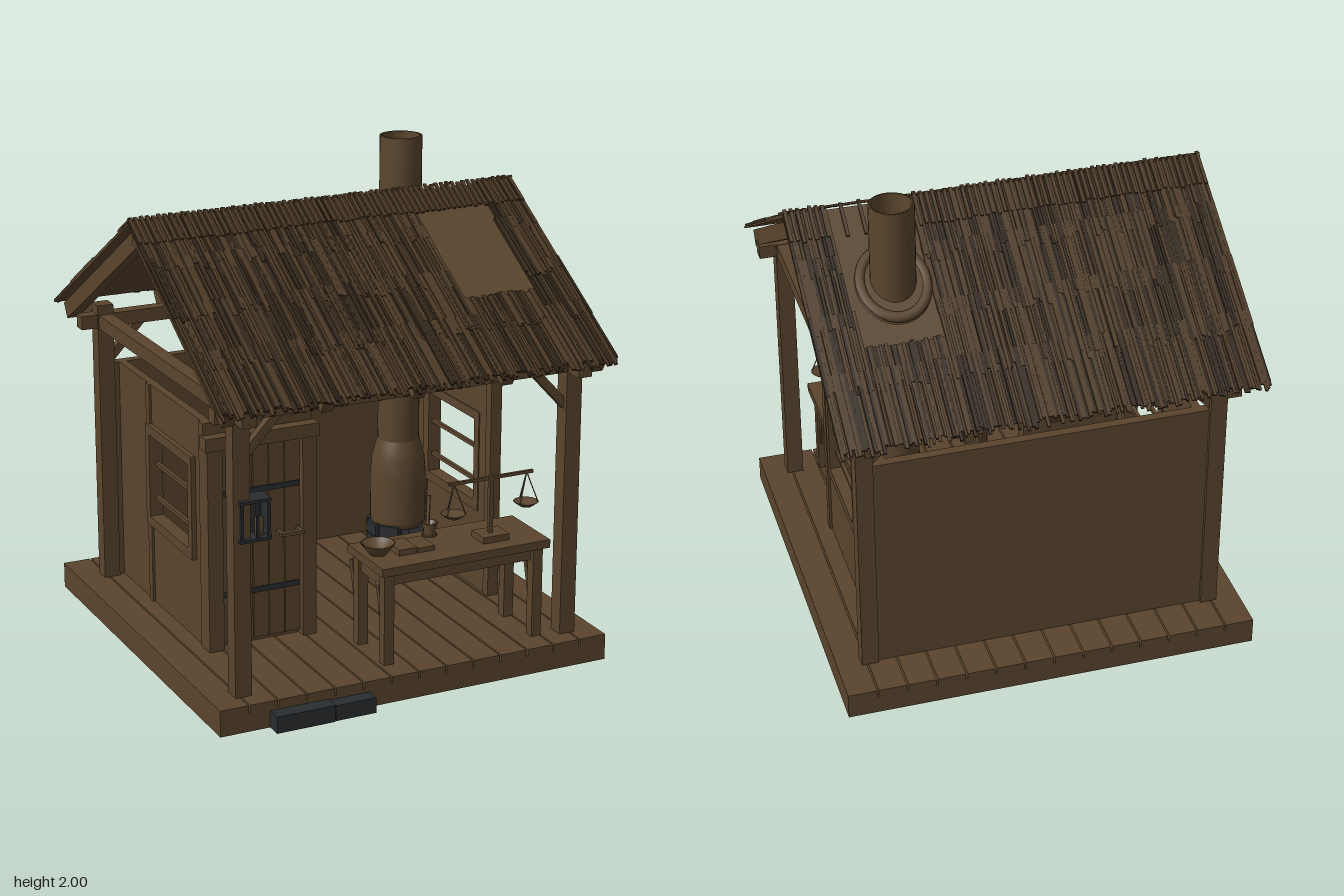
import * as THREE from 'three';
import { mergeGeometries } from 'three/addons/utils/BufferGeometryUtils.js';

const mat = (name, color) => Object.assign(new THREE.MeshStandardMaterial({ color }), { name });

export function createModel() {
  const root = new THREE.Group();
  root.name = 'marketHut';
  const wood = mat('wood', 0x5a452d);
  const thatch = mat('thatch', 0x4d3a25);
  const thatchDark = mat('dark thatch', 0x32271a);
  const iron = mat('iron and stone', 0x2a2d30);
  wood.side = THREE.DoubleSide;

  let seed = 7;
  const rand = () => (seed = (seed * 16807) % 2147483647) / 2147483647;
  const add = (name, geo, m = wood, parent = root) => {
    const mesh = new THREE.Mesh(geo, m);
    mesh.name = name;
    parent.add(mesh);
    return mesh;
  };
  // box given by its extents
  const slab = (x0, x1, y0, y1, z0, z1) =>
    new THREE.BoxGeometry(x1 - x0, y1 - y0, z1 - z0).translate((x0 + x1) / 2, (y0 + y1) / 2, (z0 + z1) / 2);
  const box = (name, e, m, parent) => add(name, slab(...e), m, parent);
  // square bar between two points
  const bar = (name, a, b, w, m, parent) => {
    const p = new THREE.Vector3(...a), q = new THREE.Vector3(...b);
    const mesh = add(name, new THREE.BoxGeometry(w, w, p.distanceTo(q)), m, parent);
    mesh.position.copy(p).add(q).multiplyScalar(0.5);
    mesh.lookAt(q);
    return mesh;
  };
  const lathe = (name, pts, x, z, m) => {
    const mesh = add(name, new THREE.LatheGeometry(pts.map(p => new THREE.Vector2(...p)), 28), m);
    mesh.position.set(x, 0, z);
    return mesh;
  };

  // Floor: foundation, deck planks, stone step
  box('foundation', [-0.86, 0.86, 0, 0.08, -0.86, 0.85]);
  const pitch = 1.72 / 14;
  for (let i = 0; i < 14; i++) {
    const x = -0.86 + i * pitch;
    box('deckPlank', [x + (i ? 0.004 : 0), x + pitch - (i < 13 ? 0.004 : 0), 0.08, 0.11, -0.86, 0.85]);
  }
  box('doorStep', [-0.65, -0.4, 0, 0.07, 0.85, 0.915], iron);
  box('doorStep', [-0.395, -0.22, 0, 0.065, 0.85, 0.91], iron);

  // Timber frame
  const postZ = [0.735, -0.655];
  for (const s of [-1, 1]) {
    for (const z of postZ) {
      const post = box('post', [-0.035, 0.035, 0.11, z > 0 ? 1.29 : 1.33, -0.035, 0.035]);
      post.position.set(s * 0.725, 0, z);
      bar('kneeBrace', [s * 0.7, 1.09, z], [s * 0.56, 1.24, z], 0.035);
    }
    box('tieBeam', [s * 0.725 - 0.03, s * 0.725 + 0.03, 1.23, 1.288, -0.84, 0.85]);
  }
  for (const z of postZ) box('eaveBeam', [-0.83, 0.83, 1.232, 1.29, z - 0.03, z + 0.03]);
  box('ridgeBeam', [-0.83, 0.83, 1.74, 1.8, -0.03, 0.03]);

  // Roof: each slope is a group whose local +z runs down from the ridge
  const angle = Math.atan(0.61), c = Math.cos(angle);
  for (const s of [1, -1]) {
    const slope = new THREE.Group();
    slope.name = s > 0 ? 'frontRoof' : 'backRoof';
    slope.rotation.set(angle, s > 0 ? 0 : Math.PI, 0, 'YXZ');
    slope.position.y = 1.835;
    root.add(slope);
    for (const x of [-0.8, -0.39, 0, 0.39, 0.8])
      box('rafter', [x - 0.025, x + 0.025, -0.088, -0.02, 0, 0.86 / c], wood, slope);
    box('roofBoard', [-0.86, 0.86, -0.008, 0, 0, 0.872 / c], wood, slope);
    // overlapping courses of reeds, left open around the chimney
    const reeds = [[], []];
    const n = 150;
    for (let row = 0; row < 4; row++)
      for (let i = 0; i < n; i++) {
        const x = -0.857 + 1.714 * (i + 0.5) / n + (rand() - 0.5) * 0.005;
        const w = 0.0045 + rand() * 0.003;
        let z0 = row * 0.25 - (row ? 0.04 : 0);
        const z1 = Math.min((row + 1) * 0.255, 1.022) + rand() * 0.045;
        const h = 0.005 + rand() * 0.008;
        const wx = s * x;
        if (wx > 0.355 && wx < 0.68) {
          if (z1 < 0.62) continue;
          z0 = Math.max(z0, 0.61 + rand() * 0.02);
        }
        reeds[rand() < 0.6 ? 0 : 1].push(slab(x - w, x + w, 0, h, z0, z1));
      }
    reeds.forEach((g, i) => add('reeds', mergeGeometries(g), i ? thatchDark : thatch, slope));
    // ridge reeds
    const cap = [];
    for (let i = 0; i < 70; i++) {
      const x = -0.85 + i * 0.0246;
      if (s < 0 && -x > 0.355 && -x < 0.68 && i % 3) continue;
      cap.push(slab(x - 0.007, x + 0.007, 0.008, 0.017, -0.01 - rand() * 0.01, 0.125 + rand() * 0.012));
    }
    add('ridgeReeds', mergeGeometries(cap), thatch, slope);
    if (s < 0) { // flashing around the chimney
      const plate = add('chimneyFlashing', new THREE.CylinderGeometry(0.13, 0.15, 0.022, 32), wood, slope);
      plate.position.set(-0.5, 0.011, 0.31 / c);
      plate.scale.z = 1 / c;
      const ring = add('flashingRing', new THREE.TorusGeometry(0.13, 0.02, 8, 32).rotateX(Math.PI / 2), wood, slope);
      ring.position.set(-0.5, 0.016, 0.31 / c);
      ring.scale.z = 1 / c;
    }
  }

  // Walls: back, the two windowed sides, and the door wall
  box('backWall', [-0.69, 0.69, 0.11, 1.07, -0.675, -0.635]);
  const rect = (P, a, b, y0, y1) => {
    const p = new P();
    p.moveTo(a, y0); p.lineTo(b, y0); p.lineTo(b, y1); p.lineTo(a, y1); p.closePath();
    return p;
  };
  const pierced = (name, outer, inner, depth, x) => {
    const shape = rect(THREE.Shape, ...outer);
    shape.holes.push(rect(THREE.Path, ...inner));
    const geo = new THREE.ExtrudeGeometry(shape, { depth, bevelEnabled: false }).translate(0, 0, -depth / 2);
    const mesh = add(name, geo.rotateY(-Math.PI / 2));
    mesh.position.x = x;
  };
  const hole = [-0.265, 0.14, 0.5, 0.86];
  for (const s of [-1, 1]) {
    pierced('sideWall', [-0.64, 0.28, 0.11, 1.07], hole, 0.035, s * 0.647);
    pierced('windowFrame', [-0.305, 0.18, 0.46, 0.9], hole, 0.06, s * 0.655);
    for (const y of [0.58, 0.73]) bar('windowBar', [s * 0.65, y, -0.27], [s * 0.65, y, 0.145], 0.016);
    for (const [z0, z1] of [[0.24, 0.283], [-0.315, -0.278]]) {
      const stud = box('wallStud', [-0.025, 0.025, 0.11, 1.07, z0, z1]);
      stud.position.x = s * 0.65;
    }
  }
  box('doorWall', [-0.66, -0.2, 0.11, 1.07, 0.245, 0.28]);
  box('doorJamb', [-0.675, -0.61, 0.11, 0.965, 0.28, 0.325]);
  box('doorJamb', [-0.26, -0.2, 0.11, 0.965, 0.28, 0.325]);
  box('doorLintel', [-0.685, -0.19, 0.965, 1.02, 0.27, 0.333]);
  for (let i = 0; i < 5; i++)
    box('doorPlank', [-0.608 + i * 0.07, -0.542 + i * 0.07, 0.13, 0.96, 0.28, 0.3]);
  for (const y of [0.34, 0.77]) box('doorStrap', [-0.605, -0.27, y - 0.011, y + 0.011, 0.3, 0.309], iron);
  box('doorHandle', [-0.37, -0.265, 0.567, 0.583, 0.335, 0.355]);
  for (const x of [-0.36, -0.275]) bar('handlePin', [x, 0.575, 0.295], [x, 0.575, 0.34], 0.014);

  // Stove, chimney and its ring of stones
  lathe('stove', [[0, 0.27], [0.115, 0.27], [0.122, 0.3], [0.122, 0.5], [0.115, 0.58], [0.1, 0.635], [0.088, 0.67]], 0.5, -0.31);
  lathe('chimney', [[0.09, 0.65], [0.09, 1.69], [0.09, 2], [0.076, 2], [0.076, 1.6], [0, 1.6]], 0.5, -0.31);
  for (let row = 0; row < 3; row++)
    for (let i = 1; i < 8; i++) {
      const a = i * Math.PI / 4;
      const stone = add('hearthStone', new THREE.BoxGeometry(0.085, 0.054, 0.06), iron);
      stone.position.set(0.5 + Math.sin(a) * 0.1, 0.14 + row * 0.06, -0.31 + Math.cos(a) * 0.1);
      stone.rotation.y = a;
    }

  // Table
  box('tableTop', [-0.12, 0.64, 0.495, 0.53, 0.45, 0.76]);
  for (const z of [0.48, 0.71]) box('tableApron', [-0.09, 0.61, 0.44, 0.495, z - 0.012, z + 0.012]);
  for (const x of [-0.08, 0.595]) {
    box('tableApron', [x - 0.012, x + 0.012, 0.43, 0.48, 0.47, 0.72]);
    for (const z of [0.49, 0.72]) {
      box('tableLeg', [x - 0.022, x + 0.022, 0.11, 0.495, z - 0.022, z + 0.022]);
      bar('tableBrace', [x, 0.24, z - 0.015], [x, 0.45, z - 0.07], 0.024);
    }
  }

  // Goods on the table: bowl, book, mortar and pestle
  lathe('bowl', [[0, 0.532], [0.035, 0.532], [0.07, 0.578], [0.063, 0.578], [0.03, 0.542], [0, 0.542]], -0.06, 0.6);
  box('bookPage', [0.005, 0.085, 0.53, 0.556, 0.54, 0.66]);
  box('bookPage', [0.09, 0.165, 0.53, 0.55, 0.54, 0.66]);
  lathe('mortar', [[0, 0.53], [0.032, 0.53], [0.022, 0.545], [0.034, 0.585], [0.027, 0.585], [0, 0.55]], 0.225, 0.5);
  bar('pestle', [0.222, 0.56, 0.488], [0.235, 0.69, 0.474], 0.013);

  // Balance scale
  const sz = 0.64;
  box('scaleBase', [0.37, 0.49, 0.53, 0.557, sz - 0.05, sz + 0.05]);
  box('scalePole', [0.418, 0.436, 0.55, 0.8, sz - 0.009, sz + 0.009]);
  bar('scaleBeam', [0.235, 0.79, sz], [0.62, 0.79, sz], 0.013);
  for (const x of [0.258, 0.592]) {
    lathe('scalePan', [[0, 0.64], [0.025, 0.644], [0.052, 0.664], [0.048, 0.664], [0, 0.647]], x, sz);
    for (let i = 0; i < 3; i++) {
      const a = Math.PI / 6 + i * Math.PI * 2 / 3;
      bar('scaleString', [x, 0.79, sz], [x + Math.cos(a) * 0.049, 0.662, sz + Math.sin(a) * 0.049], 0.004);
    }
  }

  // Lantern on the front post
  for (const y of [0.75, 0.905]) box('lanternPlate', [-0.74, -0.61, y, y + 0.013, 0.7, 0.79], iron);
  box('lanternSide', [-0.665, -0.612, 0.755, 0.91, 0.705, 0.715], iron);
  box('lanternSide', [-0.62, -0.612, 0.755, 0.91, 0.705, 0.785], iron);
  for (const x of [-0.73, -0.665, -0.617]) bar('lanternBar', [x, 0.755, 0.782], [x, 0.91, 0.782], 0.011, iron);
  lathe('lanternCandle', [[0, 0.763], [0.018, 0.763], [0.018, 0.83], [0, 0.84]], -0.645, 0.75);
  return root;
}
